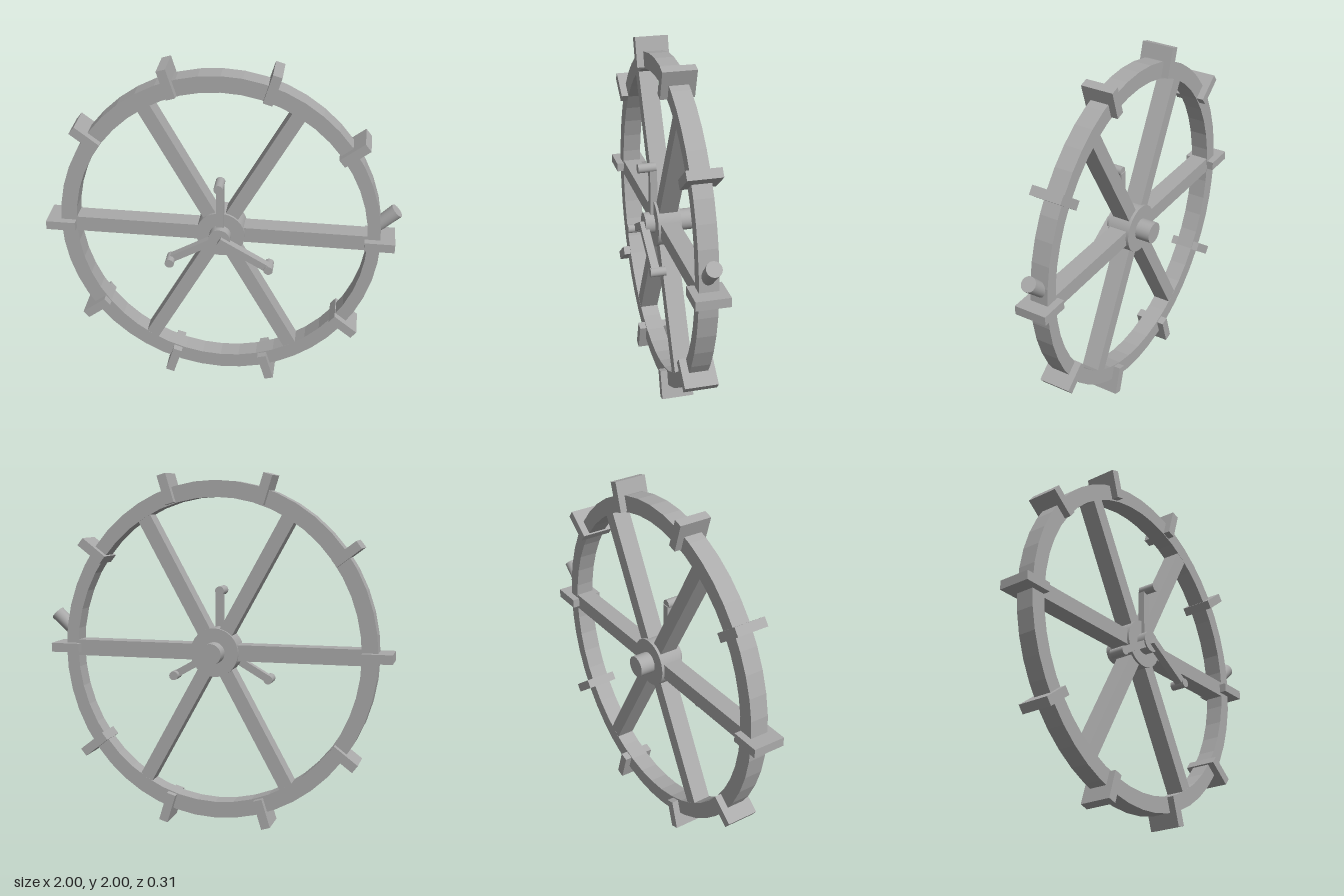
import * as THREE from 'three';

export function createModel() {
  const model = new THREE.Group();
  const grey = new THREE.MeshStandardMaterial({ color: 0xaaaaaa });
  grey.name = 'grey';
  const wheel = new THREE.Group();
  wheel.name = 'wheel';
  wheel.position.y = 1;
  model.add(wheel);

  const add = (name, geometry, x = 0, y = 0, z = 0, angle = 0) => {
    const mesh = new THREE.Mesh(geometry, grey);
    mesh.name = name;
    mesh.position.set(x, y, z);
    mesh.rotation.z = angle;
    wheel.add(mesh);
    return mesh;
  };

  // cylinder along z between two depths
  const addRod = (name, r, z0, z1, x = 0, y = 0) => {
    const g = new THREE.CylinderGeometry(r, r, z1 - z0, 32).rotateX(Math.PI / 2);
    add(name, g, x, y, (z0 + z1) / 2);
  };

  // box lying along a direction, from radius r0 to r1
  const addBar = (name, angle, r0, r1, width, z0, z1) => {
    const r = (r0 + r1) / 2;
    add(name, new THREE.BoxGeometry(r1 - r0, width, z1 - z0),
      Math.cos(angle) * r, Math.sin(angle) * r, (z0 + z1) / 2, angle);
  };

  // slightly oval rim, a little wider on one side
  const oval = (t, right, left, ry) => {
    const c = Math.cos(t);
    return new THREE.Vector2(c * (c > 0 ? right : left), Math.sin(t) * ry);
  };
  const loop = (right, left, ry) => Array.from({ length: 48 }, (_, i) =>
    oval((i / 48) * Math.PI * 2, right, left, ry));
  const rimShape = new THREE.Shape(loop(0.895, 0.918, 0.961));
  rimShape.holes.push(new THREE.Path(loop(0.823, 0.828, 0.868)));
  const rim = new THREE.ExtrudeGeometry(rimShape, { depth: 0.106, bevelEnabled: false });
  add('rim', rim, 0, 0, -0.053);

  // ten paddles across the rim
  for (let i = 0; i < 10; i++) {
    const t = (i * Math.PI) / 5;
    const p = oval(t, 0.89, 0.915, 0.959);
    add('paddle', new THREE.BoxGeometry(0.168, 0.052, 0.186), p.x, p.y, 0,
      Math.atan2(p.y, p.x));
  }

  // six spokes
  for (let i = 0; i < 6; i++) {
    const level = i % 3 === 0;
    const base = (i * Math.PI) / 3;
    const angle = level ? base : Math.atan2(Math.sin(base) * 1.05, Math.cos(base));
    addBar('spoke', angle, 0.12, level ? 0.84 : 0.885, level ? 0.091 : 0.079, -0.052, 0.052);
  }

  // hub and axle
  addRod('hub', 0.138, -0.068, 0.066);
  addRod('axle', 0.061, -0.155, 0.12);

  // three stacked crank arms with handles
  const arms = [[90, 0.045, 0.085], [210, 0.07, 0.112], [330, 0.1, 0.145]];
  for (const [deg, z0, z1] of arms) {
    const a = (deg * Math.PI) / 180;
    addBar('crankArm', a, 0, 0.33, 0.042, z0, z1);
    addRod('crankHandle', 0.026, deg === 90 ? 0.05 : 0.065, 0.152,
      Math.cos(a) * 0.325, Math.sin(a) * (deg === 90 ? 0.338 : 0.33));
  }

  // peg sticking out of the rim
  const peg = new THREE.CylinderGeometry(0.042, 0.038, 0.15, 24);
  add('rimPeg', peg, 0.917, 0.142, 0, -0.8);

  return model;
}
